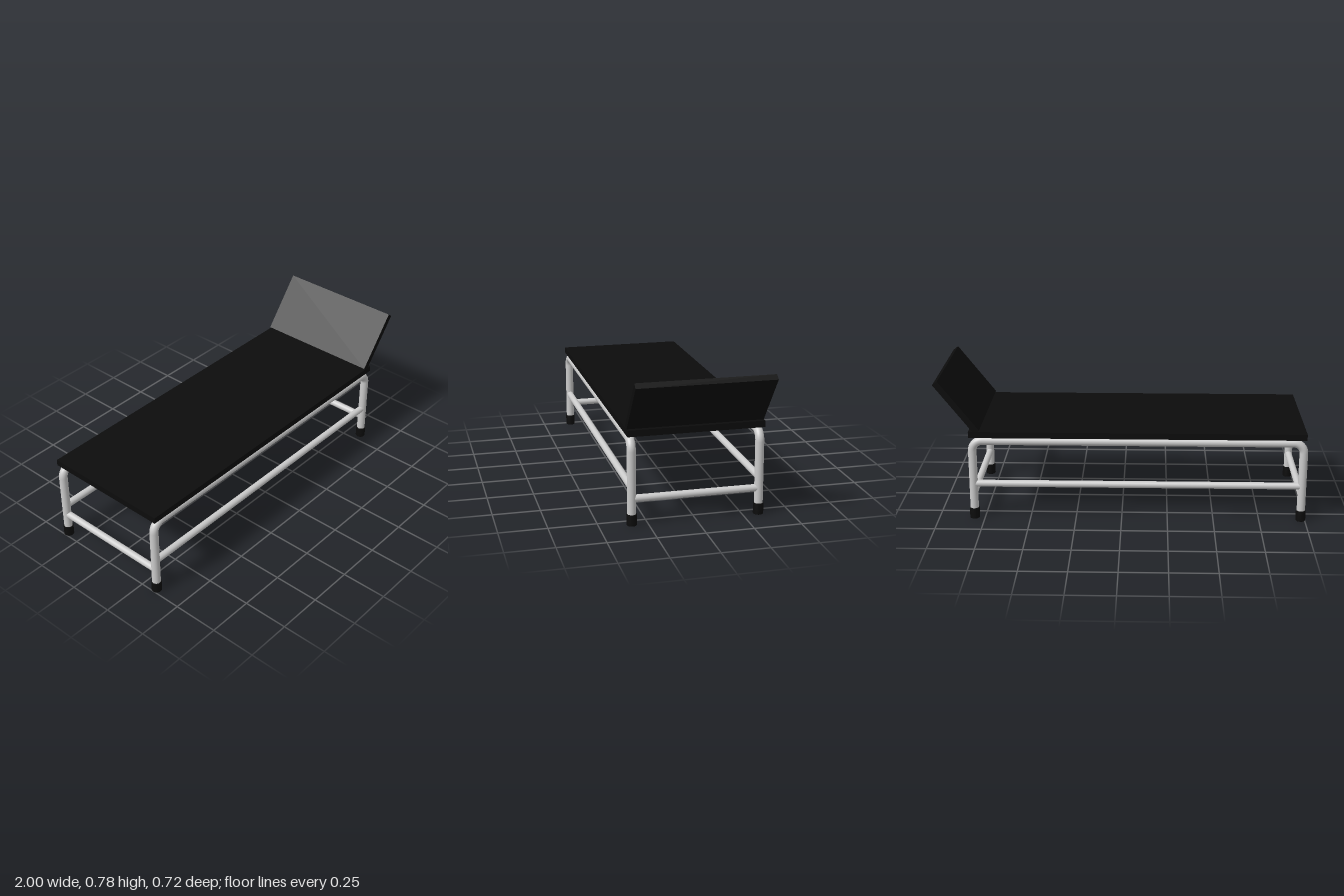
import * as THREE from 'three';

const steel = new THREE.MeshStandardMaterial({ color: 0xcccccc });
const black = new THREE.MeshStandardMaterial({ color: 0x0c0c0c });

const X0 = -0.977, X1 = 0.806; // leg centres along the length
const Z = 0.334;               // leg centres across the width
const TOP = 0.446, BEND = 0.055;

export function createModel() {
  const group = new THREE.Group();

  function add(name, geometry, material, x = 0, y = 0, z = 0) {
    const mesh = new THREE.Mesh(geometry, material);
    mesh.name = name;
    mesh.position.set(x, y, z);
    group.add(mesh);
    return mesh;
  }

  // Side frame: two legs and the top rail, bent from one tube
  const v = (x, y) => new THREE.Vector3(x, y, 0);
  const frame = new THREE.CurvePath();
  frame.add(new THREE.LineCurve3(v(X0, 0.03), v(X0, TOP - BEND)));
  const k = BEND * 0.448; // handle offset for a circular bend
  frame.add(new THREE.CubicBezierCurve3(v(X0, TOP - BEND), v(X0, TOP - k), v(X0 + k, TOP), v(X0 + BEND, TOP)));
  frame.add(new THREE.LineCurve3(v(X0 + BEND, TOP), v(X1 - BEND, TOP)));
  frame.add(new THREE.CubicBezierCurve3(v(X1 - BEND, TOP), v(X1 - k, TOP), v(X1, TOP - k), v(X1, TOP - BEND)));
  frame.add(new THREE.LineCurve3(v(X1, TOP - BEND), v(X1, 0.03)));
  const frameGeometry = new THREE.TubeGeometry(frame, 300, 0.023, 24);

  // Long lower rail
  const railGeometry = new THREE.CylinderGeometry(0.019, 0.019, X1 - X0, 24).rotateZ(Math.PI / 2);

  // Rubber foot with a slightly rounded rim
  const footGeometry = new THREE.LatheGeometry([
    [0, 0], [0.025, 0], [0.027, 0.003], [0.027, 0.057], [0.025, 0.06], [0, 0.06],
  ].map(([r, y]) => new THREE.Vector2(r, y)), 24);

  for (const [side, z] of [['front', Z], ['back', -Z]]) {
    add(side + 'SideFrame', frameGeometry, steel, 0, 0, z);
    add(side + 'LowerRail', railGeometry, steel, (X0 + X1) / 2, 0.2, z);
    for (const [end, x] of [['Right', X0], ['Left', X1]]) {
      add(side + end + 'Foot', footGeometry, black, x, 0, z);
    }
  }

  // Cross bars joining the legs at each end
  const crossGeometry = new THREE.CylinderGeometry(0.019, 0.019, 2 * Z, 24).rotateX(Math.PI / 2);
  add('rightCrossBar', crossGeometry, steel, X0, 0.141, 0);
  add('leftCrossBar', crossGeometry, steel, X1, 0.141, 0);

  // Flat bed and raised headrest
  add('bed', new THREE.BoxGeometry(1.812, 0.034, 0.712), black, -0.084, 0.485, 0);
  const headrest = add('headrest', new THREE.BoxGeometry(0.345, 0.034, 0.71), black, 0.881, 0.636, 0);
  headrest.rotation.z = THREE.MathUtils.degToRad(52);

  return group;
}
